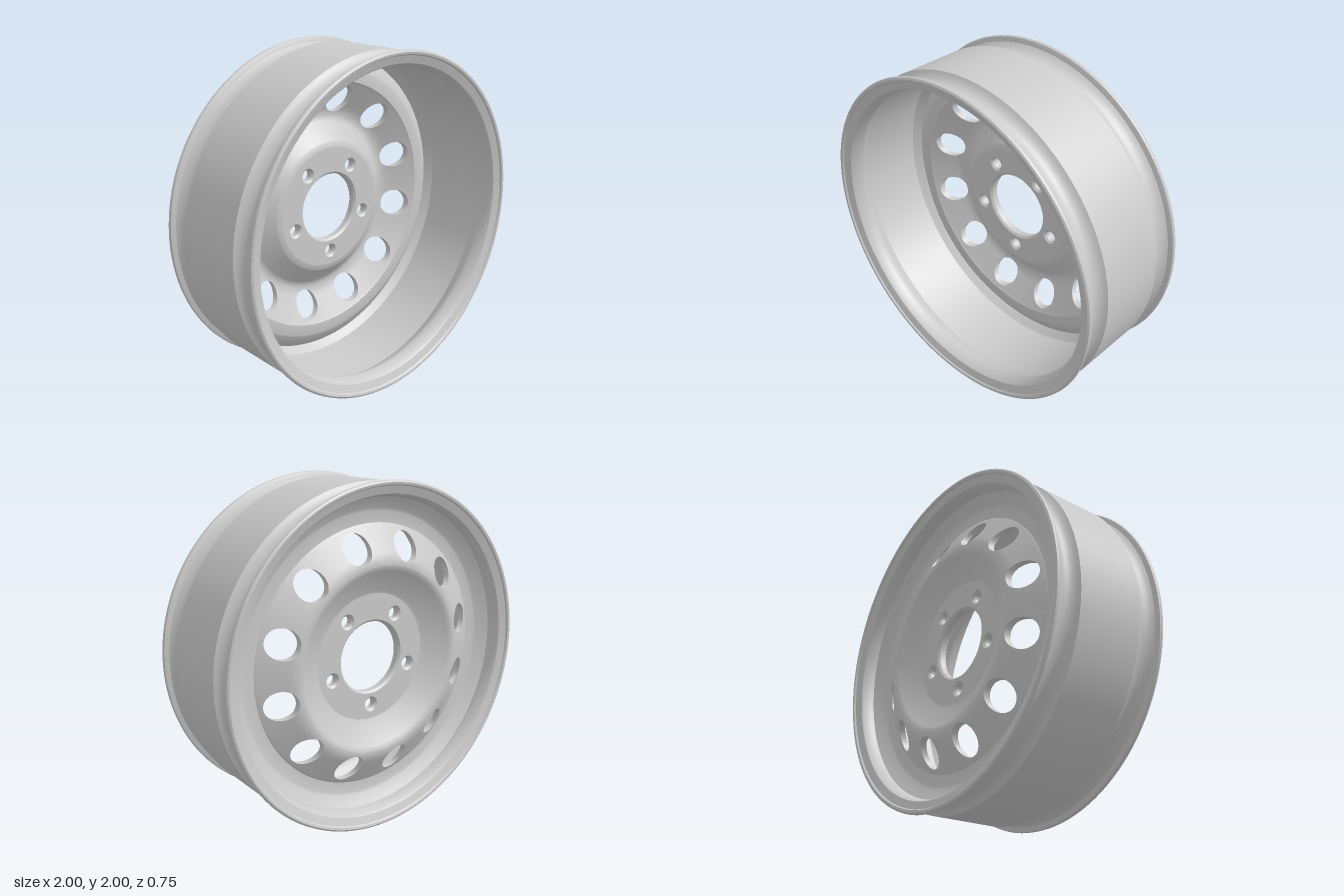
import * as THREE from 'three';
import { toCreasedNormals, mergeGeometries } from 'three/addons/utils/BufferGeometryUtils.js';

const SEGMENTS = 144;
const material = new THREE.MeshStandardMaterial({ color: 0xcccccc });

function addMesh(group, name, geometry, crease = 0.6) {
  const mesh = new THREE.Mesh(toCreasedNormals(geometry, crease), material);
  mesh.name = name;
  group.add(mesh);
}

// Closed [radius, z] profile, counter-clockwise, turned about the z axis
function turned(profile) {
  const points = [...profile, profile[0]].map(([r, z]) => new THREE.Vector2(r, z));
  return new THREE.LatheGeometry(points, SEGMENTS).rotateX(Math.PI / 2);
}

// Linear lookup of z in a list of [radius, z] with rising radius
function lookup(table, r) {
  let i = 1;
  while (i < table.length - 1 && r > table[i][0]) i++;
  const [r0, z0] = table[i - 1], [r1, z1] = table[i];
  return z0 + (z1 - z0) * (r - r0) / (r1 - r0);
}

// Vent band: front and back surface heights
const BAND_FRONT = [[0.54, -0.29], [0.555, -0.29], [0.575, -0.286], [0.6, -0.275], [0.75, -0.185]];
const BAND_BACK = [[0.54, -0.33], [0.555, -0.33], [0.575, -0.326], [0.6, -0.315], [0.75, -0.225]];

// One 30 degree sector of the band, lofted from its round hole to its border
function ventSector(centreAngle) {
  const around = 48, steps = 6, row = 2 * (steps + 1);
  const centre = 0.65, hole = 0.085, half = Math.PI / 12;
  const positions = [], indices = [];
  for (let j = 0; j <= around; j++) {
    const a = (j / around) * Math.PI * 2, c = Math.cos(a), s = Math.sin(a);
    const d = Math.max(Math.abs(c), Math.abs(s));
    const holeR = Math.hypot(centre + hole * c, hole * s);
    const holeA = Math.atan2(hole * s, centre + hole * c);
    const edgeR = centre + (c / d) * (c > 0 ? 0.10 : 0.11);
    const edgeA = (s / d) * half;
    for (let k = 0; k < row; k++) {
      const front = k <= steps;
      const t = (front ? steps - k : k - steps - 1) / steps;
      const r = holeR + (edgeR - holeR) * t;
      const angle = centreAngle + holeA + (edgeA - holeA) * t;
      positions.push(r * Math.cos(angle), r * Math.sin(angle), lookup(front ? BAND_FRONT : BAND_BACK, r));
      if (j < around && k < row - 1) {
        const p = j * row + k, q = p + row;
        indices.push(p + 1, p, q, p + 1, q, q + 1);
      }
    }
  }
  const geometry = new THREE.BufferGeometry();
  geometry.setAttribute('position', new THREE.Float32BufferAttribute(positions, 3));
  geometry.setIndex(indices);
  return geometry;
}

function circlePath(x, y, r) {
  return new THREE.Path().absarc(x, y, r, 0, Math.PI * 2, true);
}

export function createModel() {
  const wheel = new THREE.Group();
  wheel.name = 'wheel';
  const parts = new THREE.Group();
  parts.name = 'wheelParts';
  parts.position.y = 1;
  wheel.add(parts);

  // Rim: half profile from outer drum over the flange to the inner wall, mirrored in z
  const half = [
    [0.985, 0.205], [0.968, 0.216], [0.955, 0.23], [0.946, 0.245], [0.941, 0.26], [0.94, 0.275],
    [0.943, 0.292], [0.95, 0.31], [0.959, 0.325], [0.97, 0.338], [0.985, 0.343], [0.996, 0.348],
    [1, 0.358], [0.997, 0.369], [0.987, 0.375], [0.975, 0.372], [0.969, 0.362],
    [0.925, 0.345], [0.918, 0.335], [0.91, 0.305], [0.905, 0.285], [0.905, 0.268],
    [0.912, 0.25], [0.925, 0.23], [0.94, 0.212], [0.955, 0.19],
  ];
  const mirrored = half.map(([r, z]) => [r, -z]).reverse();
  addMesh(parts, 'rim', turned([...half, ...mirrored]), 0.5);

  // Outer shoulder joining the disc to the rim
  addMesh(parts, 'discShoulder', turned([
    [0.75, -0.225], [0.76, -0.218], [0.825, -0.218], [0.84, -0.223], [0.89, -0.26], [0.915, -0.275],
    [0.915, -0.235], [0.89, -0.218], [0.84, -0.183], [0.825, -0.178], [0.76, -0.178], [0.75, -0.185],
  ]), 0.5);

  // Sloping band with twelve round vents
  const sectors = [];
  for (let i = 0; i < 12; i++) sectors.push(ventSector((17.5 + i * 30) * Math.PI / 180));
  addMesh(parts, 'ventBand', mergeGeometries(sectors), 0.6);

  // Cone rising to the hub
  addMesh(parts, 'hubCone', turned([
    [0.37, -0.235], [0.385, -0.24], [0.51, -0.317], [0.525, -0.327], [0.54, -0.33],
    [0.54, -0.29], [0.525, -0.288], [0.51, -0.28], [0.41, -0.188], [0.4, -0.181], [0.37, -0.175],
  ]), 0.5);

  // Flat hub plate with centre bore and five chamfered bolt holes
  const plate = new THREE.Shape().absarc(0, 0, 0.37, 0, Math.PI * 2, false);
  plate.holes.push(circlePath(0, 0, 0.218));
  for (let i = 0; i < 5; i++) {
    const a = -Math.PI / 2 + (i * Math.PI * 2) / 5;
    plate.holes.push(circlePath(0.285 * Math.cos(a), 0.285 * Math.sin(a), 0.045));
  }
  const hub = new THREE.ExtrudeGeometry(plate, {
    depth: 0.036, bevelEnabled: true, bevelThickness: 0.012, bevelSize: 0.012, bevelSegments: 1, curveSegments: 36,
  });
  hub.translate(0, 0, -0.223);
  addMesh(parts, 'hubPlate', hub, 0.5);

  return wheel;
}
